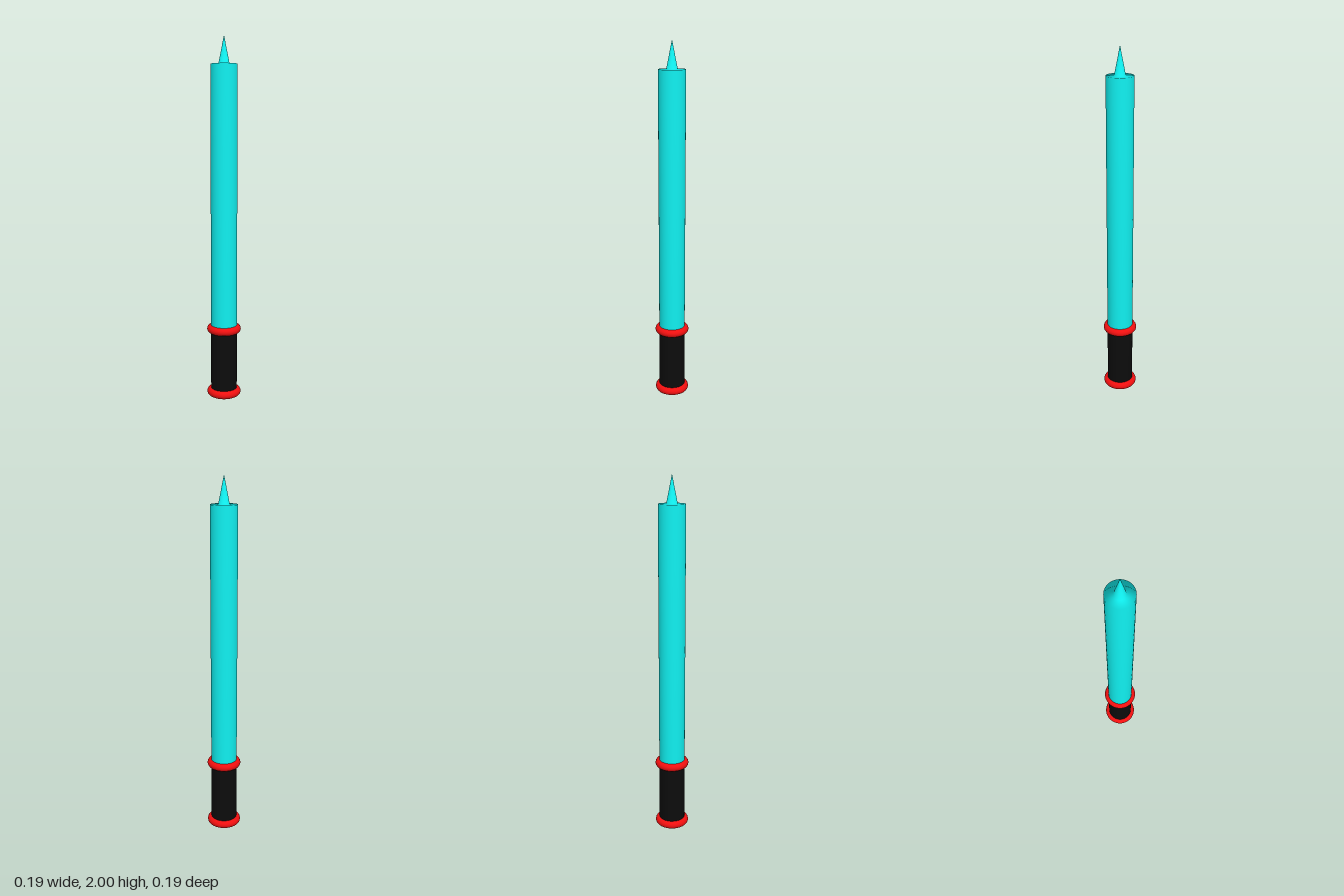
import * as THREE from 'three';

const SEGMENTS = 48;
const RADIUS = 0.073;

function addPart(group, name, geometry, color, y = 0) {
  const mesh = new THREE.Mesh(geometry, new THREE.MeshStandardMaterial({ color }));
  mesh.name = name;
  mesh.position.y = y;
  group.add(mesh);
  return mesh;
}

export function createModel() {
  const model = new THREE.Group();
  model.name = 'sword';

  // Blade: a long round rod with a flat shoulder and a thin spike, softly shaded as one surface
  const profile = [[RADIUS, 0.39], [RADIUS, 1.85], [0.03, 1.85], [0, 2]]
    .map(([r, y]) => new THREE.Vector2(r, y));
  addPart(model, 'blade', new THREE.LatheGeometry(profile, SEGMENTS), 0x10f0f0);

  // Grip between the two rings
  const gripHeight = 0.37;
  addPart(model, 'grip', new THREE.CylinderGeometry(RADIUS, RADIUS, gripHeight, SEGMENTS),
    0x0c0c0c, 0.02 + gripHeight / 2);

  // Rings at the guard and the pommel
  const ring = new THREE.TorusGeometry(RADIUS, 0.022, 16, SEGMENTS).rotateX(Math.PI / 2);
  addPart(model, 'guardRing', ring, 0xf01010, 0.39);
  addPart(model, 'pommelRing', ring, 0xf01010, 0.022);

  return model;
}
